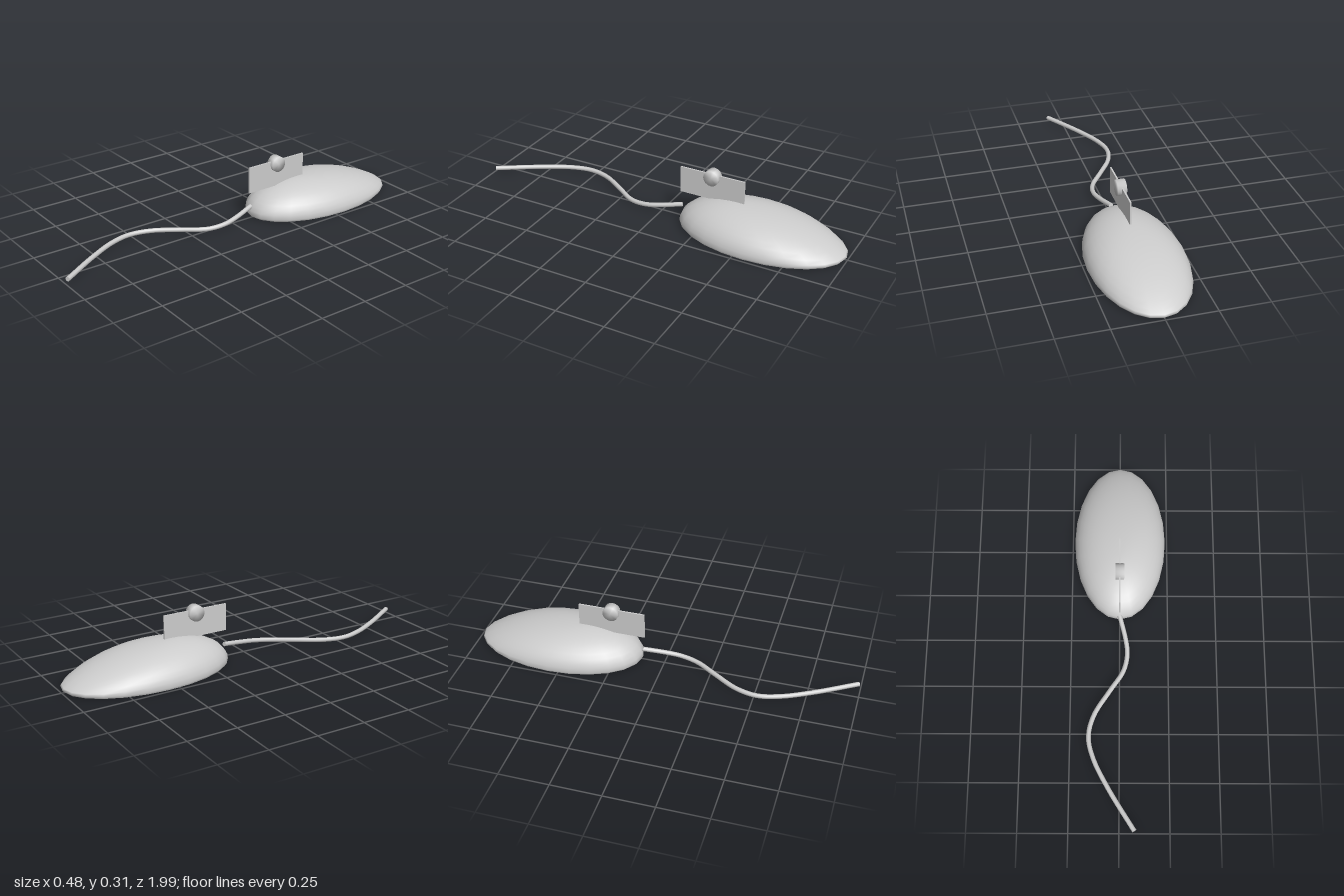
import * as THREE from 'three';
import { mergeVertices } from 'three/addons/utils/BufferGeometryUtils.js';

const grey = new THREE.MeshStandardMaterial({ color: 0xcccccc });
grey.name = 'light grey';

function add(group, name, geometry) {
  const mesh = new THREE.Mesh(geometry, grey);
  mesh.name = name;
  group.add(mesh);
  return mesh;
}

// Egg-shaped dome made of oval rings that drift forward towards the peak
function shellGeometry() {
  const SEG = 24, RINGS = 10;
  const pos = [], idx = [];
  const ring = (scale, shift, yAt) => {
    for (let i = 0; i < SEG; i++) {
      const a = (i / SEG) * Math.PI * 2;
      pos.push(0.24 * scale * Math.sin(a), yAt(Math.cos(a)), -0.555 + shift + 0.44 * scale * Math.cos(a));
    }
  };
  ring(0.975, 0, () => 0);
  for (let j = 0; j < RINGS; j++) {
    const t = (j / RINGS) * Math.PI / 2, c = Math.cos(t), s = Math.sin(t);
    // the rear slopes down more gently than the front
    ring(c, 0.135 * (1 - c), (f) => 0.012 + 0.148 * Math.pow(s, 1 + 0.65 * Math.max(0, -f) ** 2));
  }
  for (let j = 0; j < RINGS; j++) {
    for (let i = 0; i < SEG; i++) {
      const a = j * SEG + i, b = j * SEG + (i + 1) % SEG;
      idx.push(a, b, b + SEG, a, b + SEG, a + SEG);
    }
  }
  const top = pos.length / 3;
  pos.push(0, 0.16, -0.42);
  for (let i = 0; i < SEG; i++) idx.push(RINGS * SEG + i, RINGS * SEG + (i + 1) % SEG, top);
  const g = new THREE.BufferGeometry();
  g.setAttribute('position', new THREE.Float32BufferAttribute(pos, 3));
  g.setIndex(idx);
  g.computeVertexNormals();
  return g;
}

export function createModel() {
  const model = new THREE.Group();
  model.name = 'computerMouse';

  add(model, 'shell', shellGeometry());

  // Flat underside
  const base = add(model, 'underside', new THREE.CircleGeometry(1, 24));
  base.rotation.x = Math.PI / 2;
  base.scale.set(0.234, 0.429, 1);
  base.position.z = -0.555;

  // Upright divider plate
  const plate = add(model, 'dividerPlate', new THREE.BoxGeometry(0.008, 0.14, 0.35));
  plate.position.set(0, 0.21, -0.28);

  // Scroll wheel, shaded softly over its rim
  const wheelShape = new THREE.CylinderGeometry(0.041, 0.041, 0.045, 16);
  wheelShape.deleteAttribute('normal');
  wheelShape.deleteAttribute('uv');
  const softWheel = mergeVertices(wheelShape);
  softWheel.computeVertexNormals();
  const wheel = add(model, 'scrollWheel', softWheel);
  wheel.rotation.z = Math.PI / 2;
  wheel.position.set(0, 0.264, -0.28);

  // Winding cable with closed ends
  const path = new THREE.CatmullRomCurve3([
    [0, 0.064, -0.115], [0.03, 0.043, 0], [0.04, 0.031, 0.08], [0.021, 0.023, 0.17],
    [-0.05, 0.023, 0.28], [-0.13, 0.023, 0.41], [-0.155, 0.023, 0.52],
    [-0.13, 0.024, 0.63], [-0.055, 0.024, 0.78], [0.075, 0.024, 0.99],
  ].map((p) => new THREE.Vector3(...p)));
  add(model, 'cable', new THREE.TubeGeometry(path, 48, 0.012, 8, false));
  for (const t of [0, 1]) {
    const cap = add(model, t ? 'cableEnd' : 'cableStart', new THREE.CircleGeometry(0.012, 8));
    const p = path.getPointAt(t);
    cap.position.copy(p);
    cap.lookAt(p.clone().addScaledVector(path.getTangentAt(t), t ? 1 : -1));
  }
  return model;
}
